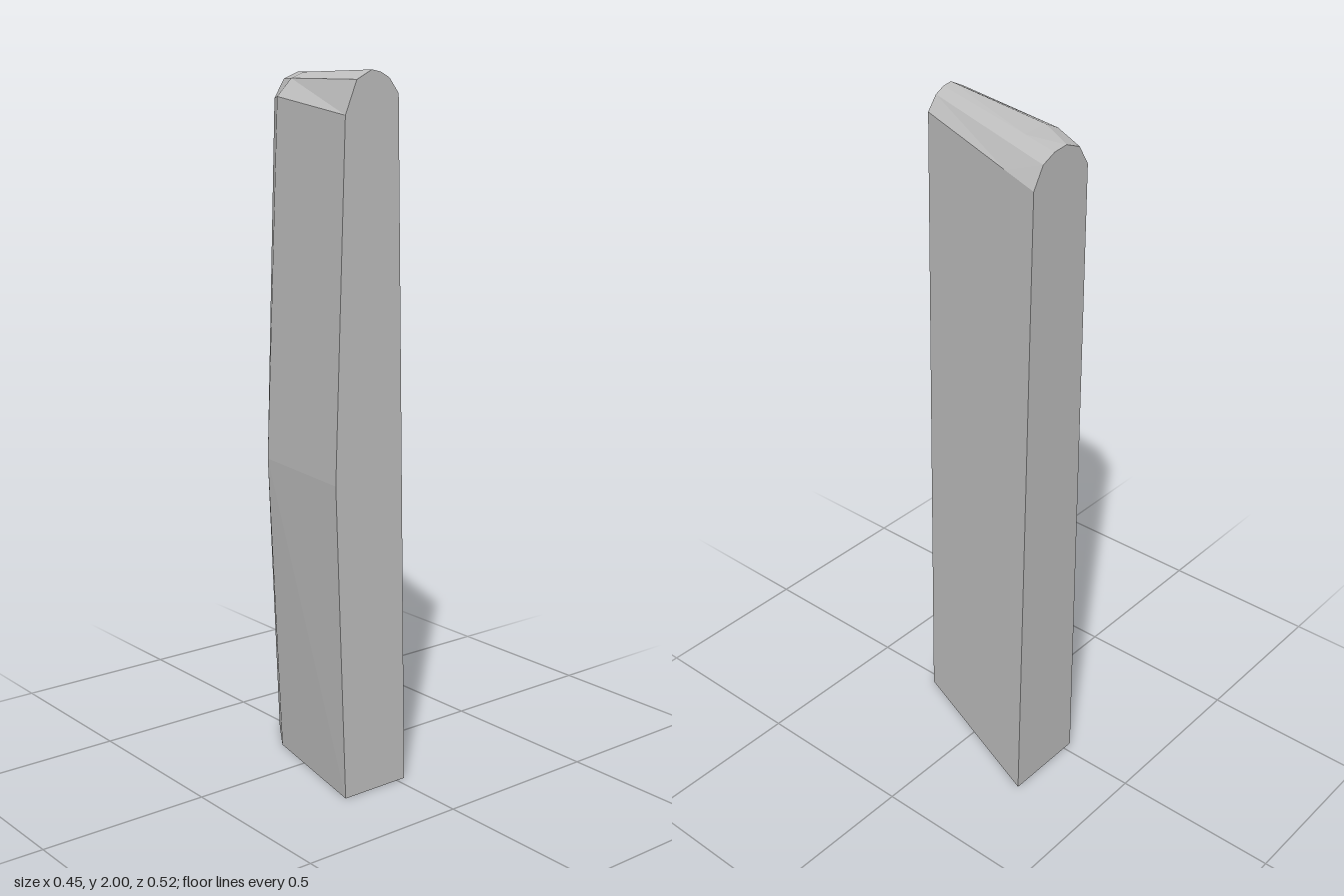
import * as THREE from 'three';

// Cross-sections from front to back, each running from the bottom right corner,
// over the rounded top, past the bulge and down to the bottom left corner.
const front = [
  [0.028, 0], [-0.013, 1.94], [-0.045, 1.98], [-0.075, 1.995], [-0.105, 2],
  [-0.155, 1.975], [-0.193, 1.885], [-0.225, 0.91], [-0.19, 0],
].map(([x, y]) => [x, y, 0.262]);

const back = [
  [0.223, 0], [0.182, 1.917], [0.147, 1.975], [0.103, 1.995], [0.057, 2],
  [0.005, 1.98], [-0.03, 1.925], [-0.03, 0.91], [-0.03, 0],
].map(([x, y]) => [x, y, -0.262]);

// The crease where the left side turns in; the right half stays straight.
const crease = [
  ...front.slice(0, 4).map((p, j) => p.map((v, k) => THREE.MathUtils.lerp(v, back[j][k], 0.75))),
  [-0.027, 1.997, -0.128], [-0.062, 1.98, -0.14], [-0.105, 1.93, -0.148],
  [-0.148, 0.9, -0.15], [-0.105, 0, -0.148],
];

function loftGeometry(rings) {
  const n = rings[0].length;
  const positions = [];
  const tri = (...points) => points.forEach((p) => positions.push(...p));

  // Sides and base, with diagonals meeting at the bulge
  for (let i = 0; i < rings.length - 1; i++) {
    for (let j = 0; j < n; j++) {
      const k = (j + 1) % n;
      const a = rings[i][j], b = rings[i][k], c = rings[i + 1][k], d = rings[i + 1][j];
      if ((i + j) % 2 === 0) {
        tri(a, d, c);
        tri(a, c, b);
      } else {
        tri(a, d, b);
        tri(b, d, c);
      }
    }
  }
  // End faces
  const last = rings[rings.length - 1];
  for (let j = 1; j < n - 1; j++) {
    tri(rings[0][0], rings[0][j], rings[0][j + 1]);
    tri(last[0], last[j + 1], last[j]);
  }
  const geometry = new THREE.BufferGeometry();
  geometry.setAttribute('position', new THREE.Float32BufferAttribute(positions, 3));
  geometry.computeVertexNormals();
  return geometry;
}

export function createModel() {
  const group = new THREE.Group();
  group.name = 'standingStone';

  const stone = new THREE.MeshStandardMaterial({ color: 0xc0c0c0 });
  stone.name = 'light grey';

  const slab = new THREE.Mesh(loftGeometry([front, crease, back]), stone);
  slab.name = 'slab';
  group.add(slab);
  return group;
}
